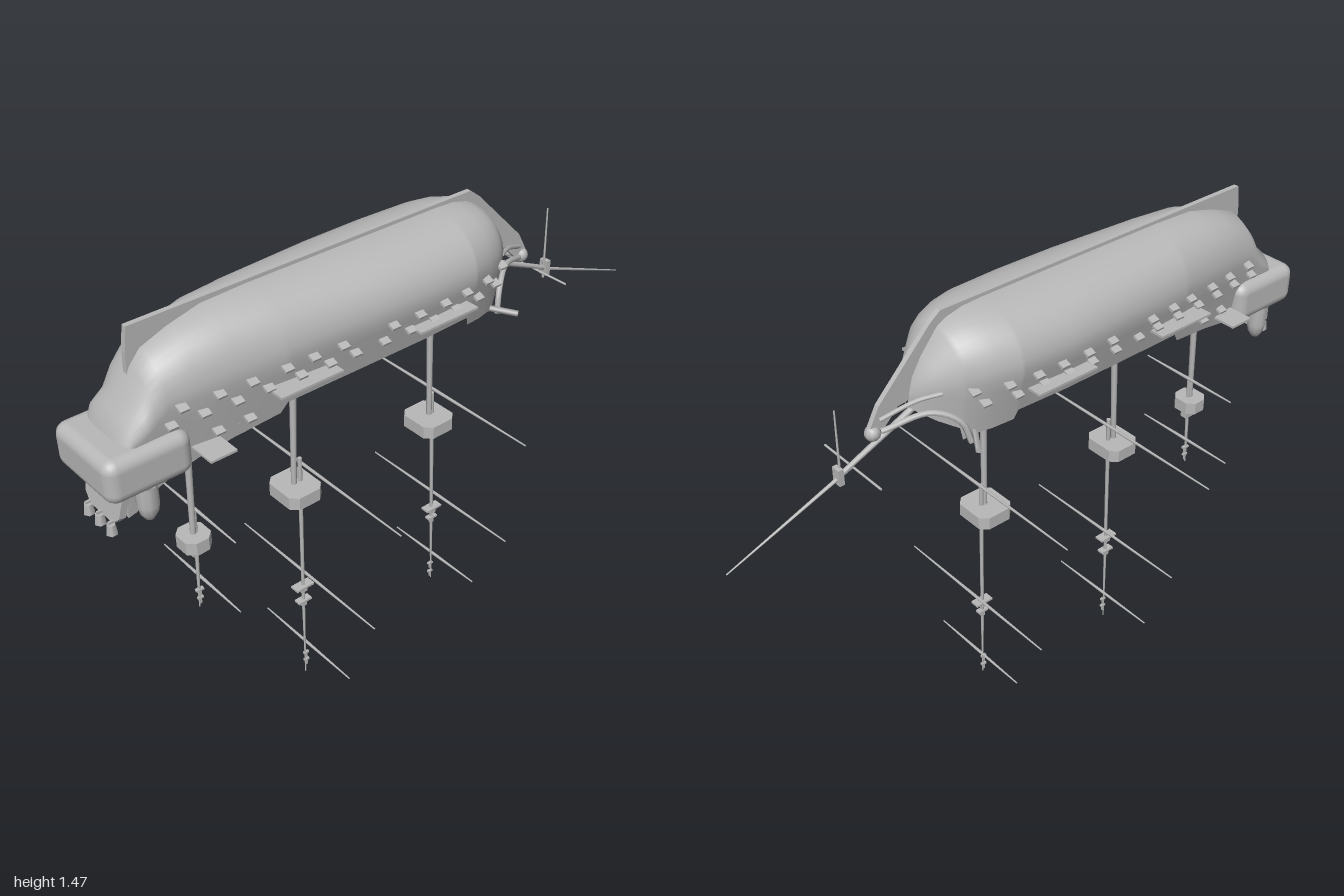
import * as THREE from 'three';
import { RoundedBoxGeometry } from 'three/addons/geometries/RoundedBoxGeometry.js';

const V = (x, y, z) => new THREE.Vector3(x, y, z);
const grey = new THREE.MeshStandardMaterial({ color: 0xb8b8b8, side: THREE.DoubleSide });
grey.name = 'plain grey';

// Hull stations, stern to bow: z, keel height, half breadth, height of widest point, rail height
const STATIONS = [
  [0.925, 1.2, 0.095, 1.16, 0.98], [0.9, 1.265, 0.105, 1.2, 0.99], [0.86, 1.3, 0.108, 1.22, 1.02],
  [0.835, 1.36, 0.11, 1.24, 1.035], [0.8, 1.4, 0.115, 1.27, 1.05], [0.72, 1.43, 0.127, 1.28, 1.08],
  [0.62, 1.455, 0.145, 1.29, 1.105], [0.48, 1.46, 0.162, 1.3, 1.125], [0.46, 1.46, 0.164, 1.3, 1.155],
  [0.2, 1.46, 0.186, 1.31, 1.17], [0, 1.46, 0.192, 1.31, 1.175], [-0.16, 1.46, 0.184, 1.31, 1.175],
  [-0.17, 1.46, 0.183, 1.31, 1.145], [-0.23, 1.457, 0.168, 1.305, 1.138], [-0.28, 1.445, 0.148, 1.3, 1.133],
  [-0.31, 1.43, 0.13, 1.3, 1.117], [-0.32, 1.42, 0.122, 1.295, 1.16], [-0.37, 1.36, 0.08, 1.28, 1.19],
  [-0.4, 1.31, 0.04, 1.26, 1.21], [-0.415, 1.26, 0.004, 1.24, 1.22],
];
const P = 2.2, TUMBLE = 1.3;

function stationAt(z) {
  let j = 0;
  while (j < STATIONS.length - 2 && STATIONS[j + 1][0] > z) j++;
  const a = STATIONS[j], b = STATIONS[j + 1], t = (a[0] - z) / (a[0] - b[0]);
  return a.map((v, i) => v + (b[i] - v) * t);
}
// Half breadth of a station at height y
function halfWidth([, k, w, yw], y) {
  if (y <= yw) return w * (1 - TUMBLE * (yw - y));
  return w * Math.pow(Math.max(0, 1 - Math.pow((y - yw) / (k - yw), P)), 1 / P);
}
// Cross-section from the left rail over the keel to the right rail
function section(s) {
  const [z, k, w, yw, e] = s, half = [];
  for (let i = 0; i < 4; i++) {
    const y = e + (yw - e) * i / 4;
    half.push(V(halfWidth(s, y), y, z));
  }
  for (let i = 0; i <= 9; i++) {
    const a = i / 9 * Math.PI / 2;
    half.push(V(w * Math.pow(Math.max(0, Math.cos(a)), 2 / P), yw + (k - yw) * Math.pow(Math.sin(a), 2 / P), z));
  }
  half[half.length - 1].x = 0;
  return [...half, ...half.slice(0, -1).reverse().map(p => V(-p.x, p.y, p.z))];
}
function loft(rows) {
  const n = rows[0].length, idx = [];
  for (let j = 0; j < rows.length - 1; j++) for (let i = 0; i < n - 1; i++) {
    const a = j * n + i, b = a + n;
    idx.push(a, b, a + 1, a + 1, b, b + 1);
  }
  const g = new THREE.BufferGeometry().setFromPoints(rows.flat());
  g.setIndex(idx);
  g.computeVertexNormals();
  return g;
}

export function createModel() {
  const root = new THREE.Group();
  root.name = 'overturnedSailingShip';
  const add = (name, geo, x = 0, y = 0, z = 0, parent = root) => {
    const m = new THREE.Mesh(geo, grey);
    m.name = name;
    m.position.set(x, y, z);
    parent.add(m);
    return m;
  };
  const box = (name, w, h, d, x, y, z, parent) => add(name, new THREE.BoxGeometry(w, h, d), x, y, z, parent);
  // Tapered round spar between two points
  const spar = (name, a, b, r1, r2, parent = root, sides = 8) => {
    const d = b.clone().sub(a), c = a.clone().add(b).multiplyScalar(0.5);
    const m = add(name, new THREE.CylinderGeometry(r2, r1, d.length(), sides), c.x, c.y, c.z, parent);
    m.quaternion.setFromUnitVectors(V(0, 1, 0), d.normalize());
    return m;
  };
  // Plate in the side plane, outline given as [z, y]
  const sidePlate = (name, pts, t) => {
    const s = new THREE.Shape(pts.map(([z, y]) => new THREE.Vector2(-z, y)));
    const g = new THREE.ExtrudeGeometry(s, { depth: t, bevelEnabled: false });
    g.translate(0, 0, -t / 2).rotateY(Math.PI / 2);
    return add(name, g);
  };

  // Hull shell and stern closure
  add('hull', loft(STATIONS.map(section)));
  const end = new THREE.Shape(section(STATIONS[0]).map(p => new THREE.Vector2(p.x, p.y)));
  add('sternWall', new THREE.ShapeGeometry(end), 0, 0, 0.925);

  // Decks: facing down, stepping with the rail height
  const deckRows = STATIONS.slice(0, -2).map(s => {
    const y = s[4] + 0.04, w = halfWidth(s, y);
    return [V(-w, y, s[0]), V(w, y, s[0])];
  });
  add('deck', loft(deckRows).toNonIndexed()).geometry.computeVertexNormals();

  // Keel, stem and beakhead
  sidePlate('keel', [[0.83, 1.47], [-0.3, 1.47], [-0.335, 1.443], [-0.51, 1.265], [-0.54, 1.21], [-0.5, 1.19],
    [-0.45, 1.24], [-0.38, 1.25], [-0.36, 1.34], [-0.27, 1.44], [0.6, 1.44], [0.78, 1.38], [0.845, 1.28], [0.84, 1.4]], 0.016);
  add('figurehead', new THREE.SphereGeometry(0.023, 10, 8), 0, 1.187, -0.53);
  for (const s of [1, -1]) {
    const rail = (name, pts, r) => add(name, new THREE.TubeGeometry(
      new THREE.CatmullRomCurve3(pts.map(([x, y, z]) => V(x * s, y, z))), 16, r, 6));
    rail('lowerHeadRail', [[0.13, 1.125, -0.305], [0.115, 1.19, -0.325], [0.07, 1.225, -0.39], [0.012, 1.19, -0.51]], 0.009);
    rail('upperHeadRail', [[0.085, 1.28, -0.36], [0.05, 1.265, -0.42], [0.01, 1.225, -0.51]], 0.007);
    spar('cathead', V(0.12 * s, 1.145, -0.285), V(0.19 * s, 1.14, -0.33), 0.009, 0.009, root, 4);
  }

  // Stern gallery, transom and lanterns
  add('sternGallery', new RoundedBoxGeometry(0.268, 0.13, 0.25, 3, 0.035), 0, 1.137, 0.873);
  const t = new THREE.Shape([[-0.095, 1.1], [-0.08, 0.99], [-0.055, 0.965], [0.055, 0.965], [0.08, 0.99], [0.095, 1.1]]
    .map(([x, y]) => new THREE.Vector2(x, y - 1.1)));
  const transom = add('transom', new THREE.ExtrudeGeometry(t, { depth: 0.02, bevelEnabled: false }), 0, 1.1, 0.915);
  transom.rotation.x = -0.2;
  for (const x of [-0.055, 0, 0.055]) {
    add('lantern', new THREE.CylinderGeometry(0.012, 0.016, 0.03, 6), x, 0.958, 0.968);
    box('lanternArm', 0.006, 0.008, 0.04, x, 0.978, 0.955);
  }
  const turret = [[0, -0.05], [0.012, -0.046], [0.025, -0.025], [0.03, 0], [0.03, 0.06]].map(p => new THREE.Vector2(...p));
  for (const s of [1, -1]) add('quarterTurret', new THREE.LatheGeometry(turret, 10), s * 0.098, 1.02, 0.88);

  // Gun port lids, channels
  const ports = [
    [1.288, [0.77, 0.67, 0.58, 0.48, 0.4, 0.31, 0.146, 0.055, -0.036, -0.12, -0.21, -0.3]],
    [1.245, [0.8, 0.71, 0.62, 0.53, 0.435, 0.345, 0.265, 0.17, 0.08, -0.005, -0.09, -0.18, -0.27]],
    [1.168, [0.67, 0.58]],
  ];
  const channels = [[0.43, 0.2, 1.23, 0.205], [-0.035, 0.21, 1.242, 0.215], [0.7, 0.08, 1.125, 0.185]];
  for (const s of [1, -1]) {
    for (const [y0, zs] of ports) for (const z of zs) {
      const y = y0 - (z > 0.4 ? (z - 0.4) * 0.04 : 0);
      const lid = box('portLid', 0.026, 0.008, 0.028, s * (halfWidth(stationAt(z), y) + 0.008), y, z);
      lid.rotation.z = -s * 0.4;
    }
    for (const [z, len, y, out] of channels) {
      const inner = halfWidth(stationAt(z), y) - 0.015;
      box('channel', out - inner, 0.007, len, s * (out + inner) / 2, y, z);
    }
  }

  // Hollow mast top: chamfered tub, open below
  const octagon = (w, d, c) => [[-w + c, -d], [w - c, -d], [w, -d + c], [w, d - c], [w - c, d], [-w + c, d], [-w, d - c], [-w, -d + c]]
    .map(p => new THREE.Vector2(...p));
  const mastTop = (w, d, y, z, parent) => {
    const flat = (shape, h, yy, name) => {
      const g = new THREE.ExtrudeGeometry(shape, { depth: h, bevelEnabled: false });
      add(name, g.rotateX(-Math.PI / 2), 0, yy, z, parent);
    };
    const wall = new THREE.Shape(octagon(w, d, 0.022));
    wall.holes.push(new THREE.Path(octagon(w - 0.018, d - 0.018, 0.014)));
    flat(wall, 0.04, y - 0.02, 'topWall');
    flat(new THREE.Shape(octagon(w, d, 0.022)), 0.008, y + 0.013, 'topFloor');
  };

  // Masts: [y, z] joints; yards: y, z, half length; caps: heights of crosstrees
  const masts = [
    { name: 'foreMast', lower: [[1.2, -0.16], [0.7, -0.165]], upper: [[0.84, -0.175], [0.33, -0.184], [0.085, -0.188]],
      top: [0.066, 0.06, 0.745, -0.162], yards: [[0.845, -0.185, 0.385], [0.425, -0.21, 0.31], [0.18, -0.2, 0.185]],
      caps: [[0.39, 0.03], [0.35, 0.018], [0.15, 0.009], [0.115, 0.009]] },
    { name: 'mainMast', lower: [[1.21, 0.342], [0.69, 0.362]], upper: [[0.84, 0.335], [0.29, 0.347], [0, 0.352]],
      top: [0.068, 0.058, 0.74, 0.355], yards: [[0.82, 0.33, 0.43], [0.4, 0.33, 0.318], [0.118, 0.34, 0.208]],
      caps: [[0.363, 0.032], [0.305, 0.024], [0.08, 0.009], [0.05, 0.009]] },
    { name: 'mizzenMast', lower: [[1.13, 0.692], [0.7, 0.708]], upper: [[0.84, 0.695], [0.6, 0.705], [0.498, 0.71]],
      top: [0.046, 0.042, 0.745, 0.705], yards: [[0.84, 0.69, 0.185], [0.6, 0.695, 0.187]],
      caps: [[0.56, 0.012], [0.53, 0.009]] },
  ];
  for (const m of masts) {
    const g = new THREE.Group();
    g.name = m.name;
    root.add(g);
    const at = ([y, z]) => V(0, y, z);
    spar('lowerMast', at(m.lower[0]), at(m.lower[1]), 0.011, 0.008, g);
    spar('topMast', at(m.upper[0]), at(m.upper[1]), 0.007, 0.005, g);
    spar('topgallantMast', at(m.upper[1]), at(m.upper[2]), 0.005, 0.002, g);
    mastTop(...m.top, g);
    box('mastCap', 0.024, 0.018, 0.036, 0, 0.7, m.lower[1][1] - 0.008, g);
    for (const [y, z, half] of m.yards) for (const s of [1, -1])
      spar('yard', V(0, y, z), V(s * half, y, z), 0.0055, 0.0025, g, 6);
    for (const [y, r] of m.caps) {
      box('crosstree', r, 0.007, r * 2, 0, y, m.upper[1][1], g);
      box('crosstreeBlock', r * 0.6, 0.022, r * 0.7, 0, y - 0.01, m.upper[1][1], g);
    }
  }

  // Bowsprit with its small mast and yard
  spar('bowsprit', V(0, 1.225, -0.36), V(0, 1.1, -0.65), 0.01, 0.007);
  spar('jibBoom', V(0, 1.115, -0.6), V(0, 0.966, -1), 0.006, 0.002);
  spar('spritMast', V(0, 1.07, -0.64), V(0, 1.305, -0.638), 0.004, 0.0025);
  box('spritTop', 0.03, 0.05, 0.016, 0, 1.105, -0.645);
  spar('spritYard', V(-0.128, 1.112, -0.6), V(0.128, 1.112, -0.6), 0.0035, 0.0035);
  return root;
}
